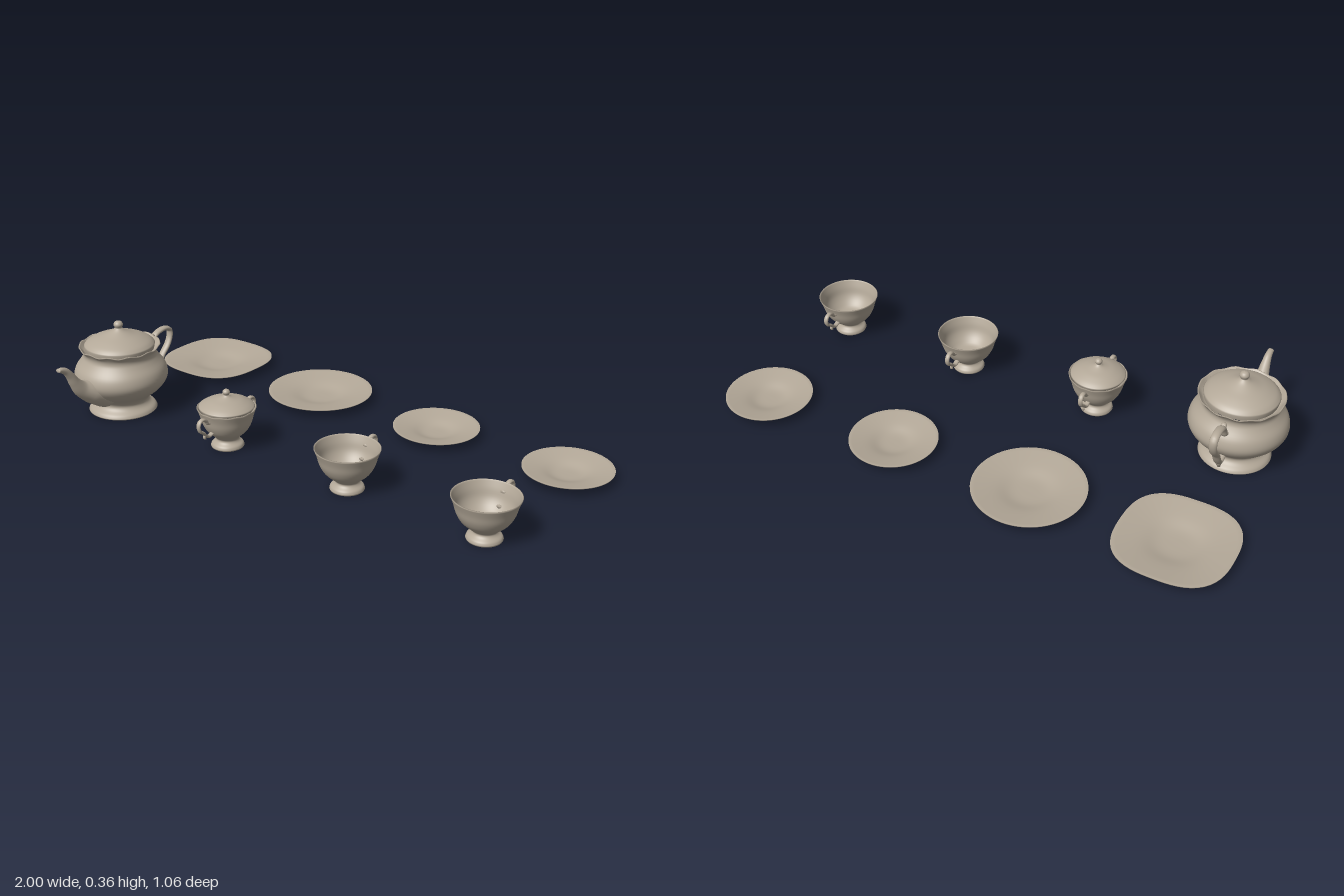
import * as THREE from 'three';
import { mergeVertices } from 'three/addons/utils/BufferGeometryUtils.js';

const china = new THREE.MeshStandardMaterial({ color: 0xb3a898 });
china.name = 'warm grey china';

function part(name, geometry, parent) {
  const mesh = new THREE.Mesh(geometry, china);
  mesh.name = name;
  parent.add(mesh);
  return mesh;
}

// Revolved profile: each run of [radius, y] points is smoothed on its own, so corners stay between runs
function turned(...runs) {
  const pts = runs.flatMap((run) => {
    const v = run.map(([r, y]) => new THREE.Vector2(r, y));
    return v.length > 2 ? new THREE.SplineCurve(v).getPoints((v.length - 1) * 4) : v;
  });
  pts.forEach((p) => { p.x = Math.max(p.x, 0); });
  return new THREE.LatheGeometry(pts, 64);
}

// Moves every vertex by a rule, then smooths again
function reshape(geometry, rule) {
  const pos = geometry.attributes.position;
  const v = new THREE.Vector3();
  for (let i = 0; i < pos.count; i++) {
    v.fromBufferAttribute(pos, i);
    rule(v);
    pos.setXYZ(i, v.x, v.y, v.z);
  }
  geometry.deleteAttribute('uv');
  geometry.deleteAttribute('normal');
  const merged = mergeVertices(geometry, 1e-5);
  merged.computeVertexNormals();
  return merged;
}

// Gentle scallop on the lip above a given height
const scallop = (geometry, from, height, count) => reshape(geometry, (v) => {
  const k = THREE.MathUtils.smoothstep(v.y, from, from + 0.02);
  if (Math.hypot(v.x, v.z) > 0.05) v.y += k * height * Math.cos(count * Math.atan2(v.z, v.x));
});

// Tapered tube in the z-y plane; rows are [z, y, radius in plane, radius along x]
function loft(rows, steps = 48, sides = 16) {
  const path = new THREE.CatmullRomCurve3(rows.map(([z, y]) => new THREE.Vector3(0, y, z)));
  const size = new THREE.CatmullRomCurve3(rows.map((r) => new THREE.Vector3(r[3], r[2], 0)));
  const X = new THREE.Vector3(1, 0, 0);
  const pos = [], idx = [];
  for (let i = 0; i <= steps; i++) {
    const c = path.getPoint(i / steps), s = size.getPoint(i / steps);
    const N = path.getTangent(i / steps).cross(X).normalize();
    for (let j = 0; j < sides; j++) {
      const a = (j / sides) * Math.PI * 2;
      const p = c.clone().addScaledVector(X, Math.cos(a) * s.x).addScaledVector(N, Math.sin(a) * s.y);
      pos.push(p.x, p.y, p.z);
      if (i < steps) {
        const k = (j + 1) % sides, b = i * sides;
        idx.push(b + j, b + k, b + sides + j, b + k, b + sides + k, b + sides + j);
      }
    }
  }
  // end caps
  [[0, 0], [1, steps * sides]].forEach(([t, base]) => {
    const c = path.getPoint(t), n = pos.length / 3;
    pos.push(c.x, c.y, c.z);
    for (let j = 0; j < sides; j++) {
      const k = (j + 1) % sides;
      if (t) idx.push(n, base + j, base + k);
      else idx.push(n, base + k, base + j);
    }
  });
  const g = new THREE.BufferGeometry();
  g.setAttribute('position', new THREE.Float32BufferAttribute(pos, 3));
  g.setIndex(idx);
  g.computeVertexNormals();
  return g;
}

const evenTube = (points, rPlane, rX) => loft(points.map(([z, y]) => [z, y, rPlane, rX]));

function placed(name, x, z, parent) {
  const g = new THREE.Group();
  g.name = name;
  g.position.set(x, 0, z);
  parent.add(g);
  return g;
}

function addTeapot(parent, x, z) {
  const pot = placed('teapot', x, z, parent);
  part('teapotBody', scallop(turned(
    [[0, 0.004], [0.126, 0.004]],
    [[0.131, 0.008], [0.124, 0.02], [0.106, 0.034], [0.1, 0.05], [0.115, 0.07], [0.147, 0.095],
      [0.17, 0.123], [0.178, 0.15], [0.17, 0.182], [0.149, 0.212], [0.139, 0.231], [0.141, 0.248], [0.154, 0.265]],
    [[0.151, 0.267], [0.137, 0.252], [0.125, 0.245]]), 0.245, 0.003, 12), pot);
  part('teapotLid', turned(
    [[0.13, 0.25], [0.134, 0.268]],
    [[0.131, 0.272], [0.117, 0.284], [0.088, 0.298], [0.055, 0.31], [0.028, 0.322], [0.014, 0.332]],
    [[0.013, 0.334], [0.018, 0.346], [0.012, 0.357], [0, 0.361]]), pot);
  part('spout', loft([
    [0.1, 0.1, 0.055, 0.075], [0.165, 0.13, 0.045, 0.055], [0.206, 0.153, 0.031, 0.034],
    [0.235, 0.188, 0.021, 0.024], [0.254, 0.22, 0.016, 0.018], [0.273, 0.243, 0.013, 0.014],
    [0.29, 0.252, 0.011, 0.012], [0.306, 0.256, 0.007, 0.011]]), pot);
  const handle = placed('teapotHandle', 0, 0, pot);
  handle.rotation.y = Math.PI;
  part('handleLoop', evenTube([
    [0.145, 0.202], [0.165, 0.206], [0.173, 0.225], [0.186, 0.246], [0.212, 0.257], [0.245, 0.259],
    [0.267, 0.247], [0.267, 0.218], [0.25, 0.185], [0.222, 0.155], [0.203, 0.12], [0.183, 0.096],
    [0.16, 0.1], [0.14, 0.11]], 0.009, 0.015), handle);
  part('handleTail', loft([[0.188, 0.105, 0.008, 0.012], [0.18, 0.085, 0.008, 0.01], [0.172, 0.066, 0.004, 0.006]], 12), handle);
  part('handleCurl', loft([[0.182, 0.24, 0.007, 0.012], [0.17, 0.25, 0.007, 0.01], [0.162, 0.245, 0.004, 0.006]], 12), handle);
}

// Footed bowl shared by the cups and the sugar bowl
const bowl = (rim) => {
  const k = rim / 0.115;
  return turned(
    [[0, 0.004], [0.059, 0.004]],
    [[0.061, 0.008], [0.057, 0.018], [0.045, 0.028], [0.042, 0.038], [0.056 * k, 0.05], [0.08 * k, 0.072],
      [0.096 * k, 0.1], [0.105 * k, 0.13], [rim, 0.157]],
    [[rim - 0.003, 0.158], [0.101 * k, 0.13], [0.092 * k, 0.1], [0.075 * k, 0.075], [0.05 * k, 0.057], [0, 0.052]]);
};

// Scrolled ear handle pointing along +z before turning
function addEar(parent, reach, angle) {
  const ear = placed('earHandle', 0, 0, parent);
  ear.rotation.y = angle;
  ear.scale.z = reach / 0.17;
  part('earLoop', evenTube([
    [0.1, 0.127], [0.113, 0.128], [0.122, 0.14], [0.138, 0.149], [0.155, 0.145], [0.163, 0.13],
    [0.156, 0.11], [0.138, 0.098], [0.125, 0.084], [0.108, 0.076], [0.08, 0.084]], 0.006, 0.009), ear);
  part('earCurl', loft([[0.13, 0.09, 0.005, 0.007], [0.133, 0.078, 0.005, 0.006], [0.126, 0.071, 0.003, 0.004]], 12), ear);
}

function addCup(parent, x, z) {
  const cup = placed('cup', x, z, parent);
  part('cupBowl', bowl(0.115), cup);
  addEar(cup, 0.168, Math.PI);
}

function addSugarBowl(parent, x, z) {
  const sugar = placed('sugarBowl', x, z, parent);
  part('sugarBody', scallop(bowl(0.108), 0.14, 0.0015, 12), sugar);
  part('sugarLid', turned(
    [[0.096, 0.15], [0.102, 0.16]],
    [[0.1, 0.163], [0.085, 0.173], [0.06, 0.184], [0.035, 0.191], [0.018, 0.197], [0.01, 0.203]],
    [[0.009, 0.204], [0.014, 0.214], [0.009, 0.223], [0, 0.226]]), sugar);
  addEar(sugar, 0.155, 0);
  addEar(sugar, 0.155, Math.PI);
}

// Thin conical dish; power above 2 squares off the outline
function addDish(name, parent, x, z, radius, power = 2) {
  const k = radius / 0.203;
  const geometry = turned(
    [[0, 0.004], [0.055 * k, 0.004]],
    [[0.058 * k, 0.005], [0.12 * k, 0.02], [radius, 0.037]],
    [[radius, 0.04], [0.12 * k, 0.027], [0.06 * k, 0.013], [0, 0.011]]);
  const dish = power === 2 ? geometry : reshape(geometry, (v) => {
    const r = Math.hypot(v.x, v.z);
    if (r < 1e-6) return;
    const f = 1 / Math.pow(Math.abs(v.x / r) ** power + Math.abs(v.z / r) ** power, 1 / power);
    const s = THREE.MathUtils.lerp(1, f, r / radius);
    v.x *= s;
    v.z *= s;
  });
  part(name, dish, parent).position.set(x, 0, z);
}

export function createModel() {
  const set = new THREE.Group();
  set.name = 'teaSet';
  const front = 0.223, back = -0.322;
  addTeapot(set, -0.797, front);
  addSugarBowl(set, -0.254, front);
  addDish('squarePlate', set, -0.797, back, 0.203, 2.75);
  addDish('roundPlate', set, -0.254, back, 0.203);
  for (const x of [0.292, 0.838]) {
    addCup(set, x, front);
    addDish('saucer', set, x, back, 0.161);
  }
  return set;
}
